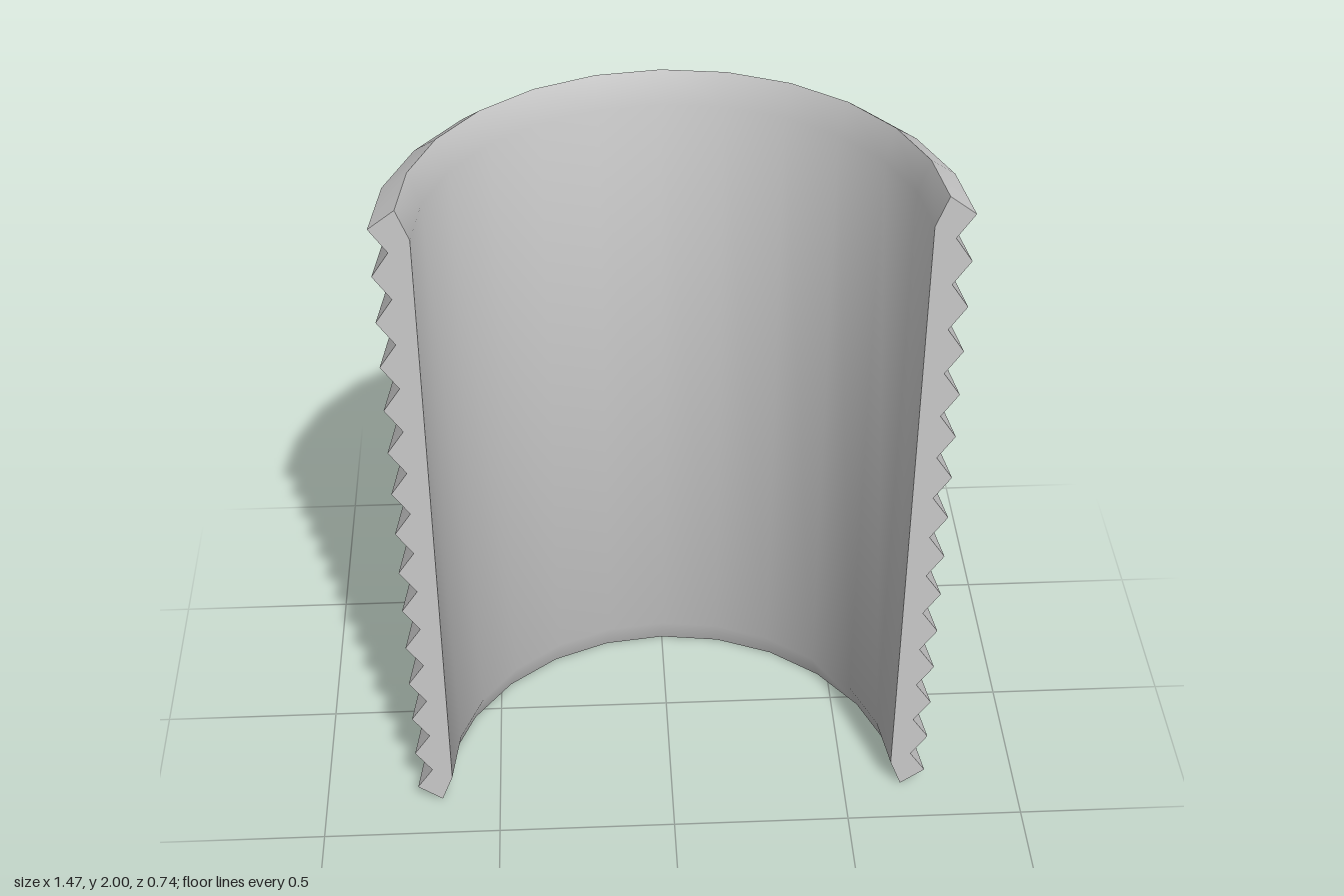
import * as THREE from 'three';
import { toCreasedNormals } from 'three/addons/utils/BufferGeometryUtils.js';

const RIDGES = 15, PITCH = 0.1355, FIRST = 0.0515;
const PEAK = 0.735, VALLEY = 0.69, RIM = 0.667, BORE = 0.635, CHAMFER = 0.085;
const FRONT_Z = 0.367;

// Wall section as [radius, height], up the ridged outside and down the bore
function wallProfile() {
  const pts = [new THREE.Vector2(RIM, 0)];
  for (let i = 0; i < RIDGES; i++) {
    const y = FIRST + i * PITCH;
    pts.push(new THREE.Vector2(PEAK, y));
    if (i < RIDGES - 1) pts.push(new THREE.Vector2(VALLEY, y + PITCH / 2));
  }
  pts.push(new THREE.Vector2(RIM, 2));
  pts.push(new THREE.Vector2(BORE, 2 - CHAMFER));
  pts.push(new THREE.Vector2(BORE, CHAMFER));
  return pts;
}

export function createModel() {
  const group = new THREE.Group();
  group.name = 'ridgedHalfSleeve';
  const material = new THREE.MeshStandardMaterial({ color: 0xcccccc });
  const profile = wallProfile();

  // Half-turn shell: smooth around, sharp along the ridges
  const lathe = new THREE.LatheGeometry([...profile, profile[0].clone()], 12, Math.PI / 2, Math.PI);
  const shell = new THREE.Mesh(toCreasedNormals(lathe, 0.6), material);
  shell.name = 'ridgedShell';
  shell.position.z = FRONT_Z;
  group.add(shell);

  // Flat cut faces closing both ends of the half turn
  for (const [name, side] of [['leftCutFace', 1], ['rightCutFace', -1]]) {
    const shape = new THREE.Shape(profile.map(p => new THREE.Vector2(p.x * side, p.y)));
    const face = new THREE.Mesh(new THREE.ShapeGeometry(shape), material);
    face.name = name;
    face.position.z = FRONT_Z;
    group.add(face);
  }
  return group;
}
